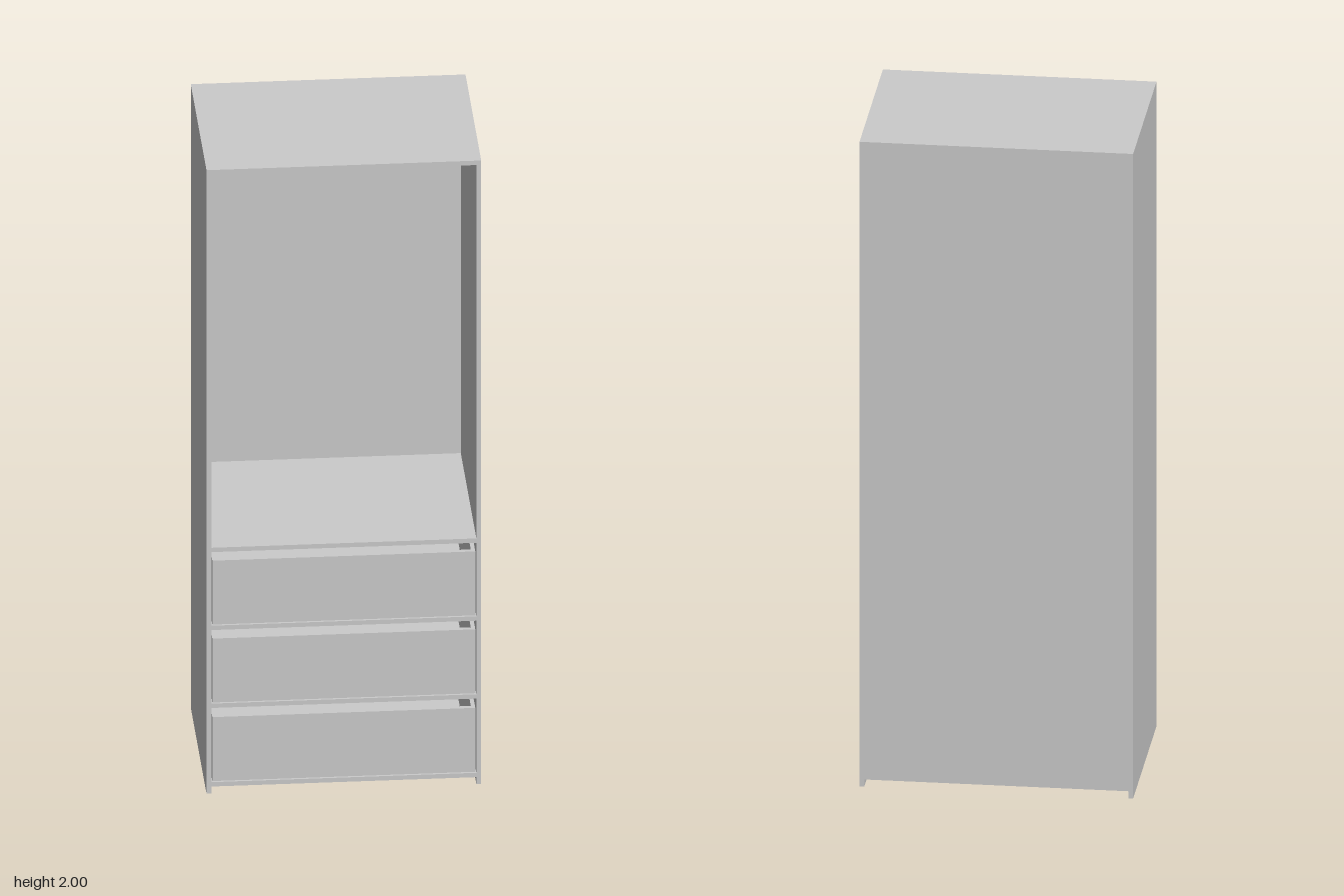
import * as THREE from 'three';

const W = 0.794, H = 2, D = 0.565, T = 0.014; // overall size and board thickness
const IN = W - 2 * T;                         // clear inner width
const BACK = 0.005;                           // back panel thickness

const material = new THREE.MeshStandardMaterial({ color: 0xcccccc });

// Box given by its lower and upper limits on each axis
function board(name, x0, x1, y0, y1, z0, z1) {
  const mesh = new THREE.Mesh(new THREE.BoxGeometry(x1 - x0, y1 - y0, z1 - z0), material);
  mesh.position.set((x0 + x1) / 2, (y0 + y1) / 2, (z0 + z1) / 2);
  mesh.name = name;
  return mesh;
}

// Open-topped drawer: front, back, two sides and a bottom
function createDrawer(y0) {
  const drawer = new THREE.Group();
  drawer.name = 'drawer';
  const x = IN / 2 - 0.003, y1 = y0 + 0.205, t = 0.012;
  const zf = D / 2 - 0.001, zb = -D / 2 + 0.02;
  drawer.add(
    board('drawerFront', -x, x, y0, y1, zf - T, zf),
    board('drawerBack', -x + t, x - t, y0, y1, zb, zb + t),
    board('drawerSideRight', -x, -x + t, y0, y1, zb, zf - T),
    board('drawerSideLeft', x - t, x, y0, y1, zb, zf - T),
    board('drawerBottom', -x + t, x - t, y0 + 0.002, y0 + 0.01, zb + t, zf - T)
  );
  return drawer;
}

export function createModel() {
  const wardrobe = new THREE.Group();
  wardrobe.name = 'wardrobe';
  const zf = D / 2, zb = -D / 2;

  // Carcass
  wardrobe.add(
    board('topPanel', -W / 2, W / 2, H - T, H, zb, zf),
    board('sideRight', -W / 2, -IN / 2, 0, H - T, zb, zf),
    board('sideLeft', IN / 2, W / 2, 0, H - T, zb, zf),
    board('backPanel', -IN / 2, IN / 2, 0.022, H - T, zb, zb + BACK)
  );

  // Bottom board and shelves, with a drawer above each of the lower three
  [0.022, 0.274, 0.524, 0.774].forEach((y, i) => {
    wardrobe.add(board(i ? 'shelf' : 'bottomPanel', -IN / 2, IN / 2, y, y + T, zb + BACK, zf));
    if (i < 3) wardrobe.add(createDrawer(y + T + 0.003));
  });

  // Hanging rail with an end socket at each side
  const railY = 1.871;
  const rail = new THREE.Mesh(new THREE.CylinderGeometry(0.011, 0.011, IN - 0.01, 32), material);
  rail.name = 'hangingRail';
  rail.rotation.z = Math.PI / 2;
  rail.position.y = railY;
  wardrobe.add(rail);
  for (const side of [-1, 1]) {
    const socket = new THREE.Mesh(new THREE.CylinderGeometry(0.014, 0.014, 0.018, 32), material);
    socket.name = side > 0 ? 'railSocketLeft' : 'railSocketRight';
    socket.rotation.z = Math.PI / 2;
    socket.position.set(side * (IN / 2 - 0.009), railY, 0);
    wardrobe.add(socket);
  }
  return wardrobe;
}
